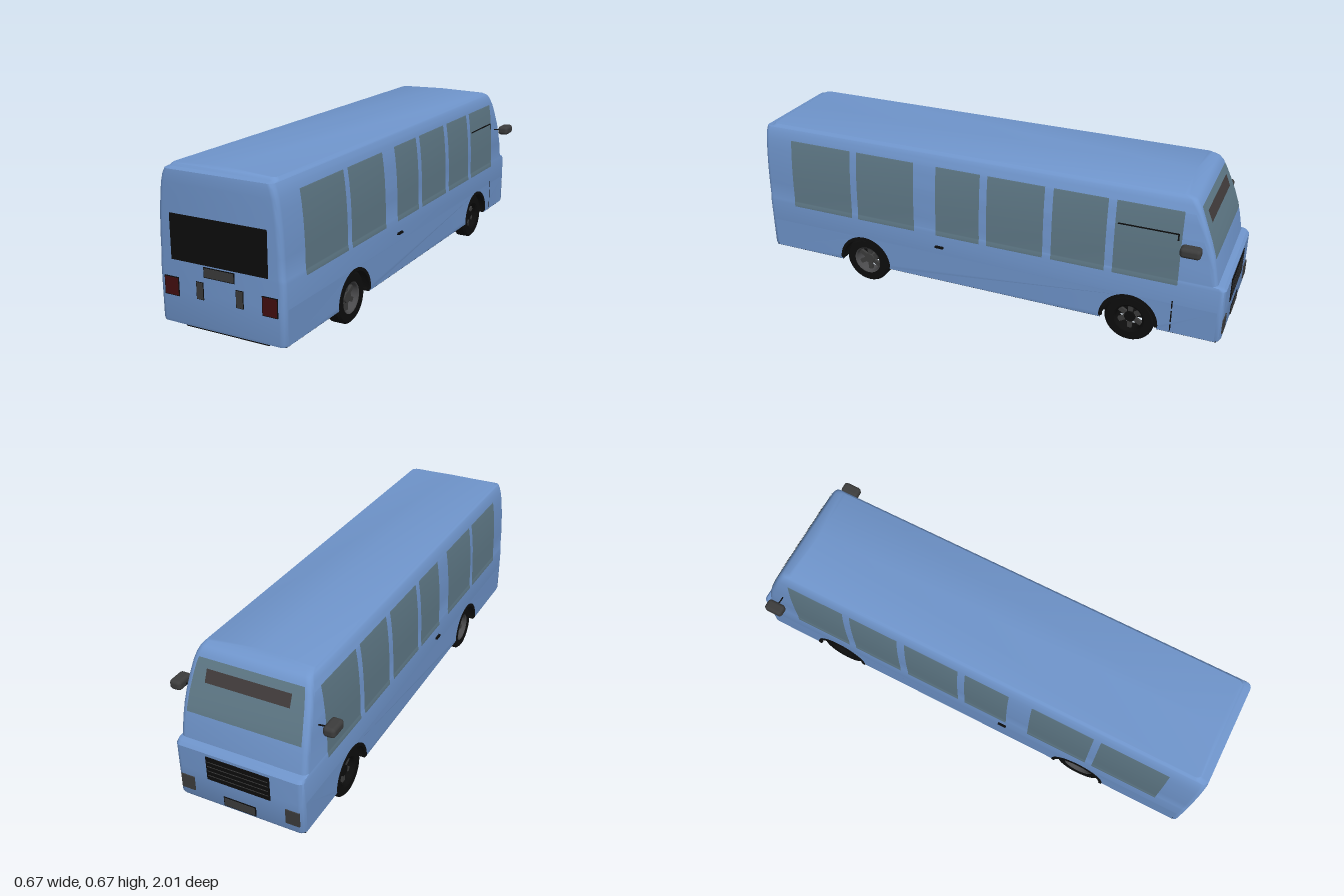
import * as THREE from 'three';
import { toCreasedNormals } from 'three/addons/utils/BufferGeometryUtils.js';
import { RoundedBoxGeometry } from 'three/addons/geometries/RoundedBoxGeometry.js';

const mat = (name, color) => new THREE.MeshStandardMaterial({ name, color, side: THREE.DoubleSide });

// Body levels: height, half width, nose z, tail z
const LEVELS = [
  [0.09, 0.258, -0.995, 0.998], [0.10, 0.26, -1, 1], [0.22, 0.261, -1, 1], [0.312, 0.261, -1, 1],
  [0.324, 0.259, -0.99, 1], [0.328, 0.258, -0.967, 1], [0.40, 0.257, -0.953, 1], [0.45, 0.255, -0.94, 1],
  [0.50, 0.252, -0.923, 1], [0.56, 0.246, -0.899, 1], [0.60, 0.24, -0.882, 1], [0.63, 0.232, -0.868, 1],
  [0.648, 0.224, -0.855, 0.998], [0.652, 0.221, -0.848, 0.972], [0.661, 0.213, -0.825, 0.965], [0.67, 0, -0.8, 0.95],
];
const WHEELS_Z = [-0.64, 0.53];
const ARCH_R = 0.115, CORNER = 0.022;

// Interpolated column of the level table at a height
function at(y, col) {
  let i = 0;
  while (i < LEVELS.length - 2 && LEVELS[i + 1][0] < y) i++;
  const a = LEVELS[i], b = LEVELS[i + 1];
  return a[col] + (b[col] - a[col]) * THREE.MathUtils.clamp((y - a[0]) / (b[0] - a[0]), 0, 1);
}

function indexed(points, index) {
  const g = new THREE.BufferGeometry();
  g.setAttribute('position', new THREE.Float32BufferAttribute(points, 3));
  g.setIndex(index);
  g.computeVertexNormals();
  return g;
}

// Rounded outlines stacked by height; lower flanks are left open for the arched panels
function bodyShell() {
  const pts = [], idx = [], N = 20;
  for (const [y, w, zf, zr] of LEVELS) {
    const r = Math.min(CORNER, w);
    [[1, 1], [1, -1], [-1, -1], [-1, 1]].forEach(([sx, sz], c) => {
      for (let k = 0; k < 5; k++) {
        const a = Math.PI / 2 - (c + k / 4) * Math.PI / 2;
        pts.push(sx * (w - r) + r * Math.cos(a), y, (sz > 0 ? zr - r : zf + r) + r * Math.sin(a));
      }
    });
  }
  for (let j = 0; j < LEVELS.length - 1; j++) {
    for (let i = 0; i < N; i++) {
      if (j < 2 && (i === 4 || i === 14)) continue;
      const a = j * N + i, b = j * N + (i + 1) % N;
      idx.push(a, a + N, b, b, a + N, b + N);
    }
  }
  // winding runs clockwise seen from above, so flip to face outwards
  for (let i = 0; i < idx.length; i += 3) [idx[i + 1], idx[i + 2]] = [idx[i + 2], idx[i + 1]];
  return toCreasedNormals(indexed(pts, idx), 0.6);
}

// Lower side panel with wheel arches cut out
function lowerPanel(side) {
  const s = new THREE.Shape(), e = 1 - CORNER;
  s.moveTo(-e, 0.09);
  for (const z of WHEELS_Z) {
    s.lineTo(z - ARCH_R, 0.09);
    s.absarc(z, 0.1, ARCH_R, Math.PI, 0, true);
    s.lineTo(z + ARCH_R, 0.09);
  }
  s.lineTo(e, 0.09);
  s.lineTo(e, 0.22);
  s.lineTo(-e, 0.22);
  const g = new THREE.ShapeGeometry(s, 20), p = g.attributes.position;
  for (let i = 0; i < p.count; i++) p.setXYZ(i, side * at(p.getY(i), 1), p.getY(i), p.getX(i));
  if (side > 0) {
    const n = g.index.array;
    for (let i = 0; i < n.length; i += 3) [n[i + 1], n[i + 2]] = [n[i + 2], n[i + 1]];
  }
  g.computeVertexNormals();
  return g;
}

// Thin strip that follows the body; edge(y, k) gives the point at either end of a row
function strip(y0, y1, edge, flip) {
  const ys = [y0, ...LEVELS.map(l => l[0]).filter(y => y > y0 + 0.001 && y < y1 - 0.001), y1];
  const pts = [], idx = [];
  ys.forEach((y, j) => {
    pts.push(...edge(y, 0), ...edge(y, 1));
    const a = 2 * j;
    if (j < ys.length - 1) idx.push(...(flip ? [a, a + 2, a + 1, a + 1, a + 2, a + 3] : [a, a + 1, a + 2, a + 1, a + 3, a + 2]));
  });
  return indexed(pts, idx);
}
const sidePatch = (s, z0, z1, y0, y1, off = 0.002) =>
  strip(y0, y1, (y, k) => [s * (at(y, 1) + off), y, k ? z1 : z0], s > 0);
const nosePatch = (halfWidth, y0, y1, off = 0.002) =>
  strip(y0, y1, (y, k) => [(k ? 1 : -1) * halfWidth(y), y, at(y, 2) - off], true);

export function createModel() {
  const group = new THREE.Group();
  group.name = 'bus';
  const paint = mat('blue paint', 0x7096cd), glass = mat('tinted glass', 0x5f7987), black = mat('black', 0x0d0d0d),
    grey = mat('dark grey', 0x3c3c3c), red = mat('dark red', 0x430e10), metal = mat('rim metal', 0x4a4a4c),
    visor = mat('brown grey', 0x413c3c);
  const add = (name, geo, m, parent = group) => {
    const mesh = new THREE.Mesh(geo, m);
    mesh.name = name;
    parent.add(mesh);
    return mesh;
  };
  const box = (name, m, x, y, z, w, h, d, parent) => {
    const b = add(name, new THREE.BoxGeometry(w, h, d), m, parent);
    b.position.set(x, y, z);
    return b;
  };

  add('bodyShell', bodyShell(), paint);

  // Underside and wheel well walls
  box('chassis', black, 0, 0.1425, 0.01, 0.35, 0.145, 1.92);
  for (const [z0, z1] of [[-0.985, -0.755], [-0.525, 0.415], [0.645, 0.985]])
    box('floor', black, 0, 0.092, (z0 + z1) / 2, 0.512, 0.008, z1 - z0);

  // Wheel parts
  const tyreGeo = new THREE.LatheGeometry([[0.062, -0.03], [0.092, -0.03], [0.1, -0.022], [0.1, 0.022],
    [0.092, 0.03], [0.062, 0.03], [0.062, -0.03]].map(p => new THREE.Vector2(...p)), 32);
  const rimGeo = new THREE.LatheGeometry([[0.063, 0.028], [0.054, 0.024], [0.052, -0.026]]
    .map(p => new THREE.Vector2(...p)), 32);
  const lip = new THREE.Shape();
  lip.absarc(0, 0, 0.119, 0, Math.PI, false);
  lip.absarc(0, 0, 0.106, Math.PI, 0, true);
  const lipGeo = new THREE.ExtrudeGeometry(lip, { depth: 0.012, bevelEnabled: false, curveSegments: 24 });

  for (const s of [1, -1]) {
    add('lowerSidePanel', lowerPanel(s), paint);

    // Side windows
    for (const [z0, z1] of [[0.58, 0.865], [0.285, 0.55], [-0.008, 0.185], [-0.28, -0.04], [-0.533, -0.315], [-0.82, -0.565]])
      add('sideWindow', sidePatch(s, z0, z1, 0.305, 0.605), glass);
    box('sideHandle', black, s * 0.264, 0.253, 0.17, 0.012, 0.008, 0.036);

    // Wheels, arches and wells
    for (const z of WHEELS_Z) {
      const wheel = new THREE.Group();
      wheel.name = z < 0 ? 'frontWheel' : 'rearWheel';
      wheel.position.set(s * 0.215, 0.1, z);
      wheel.rotation.z = -s * Math.PI / 2;
      add('tyre', toCreasedNormals(tyreGeo, 0.6), black, wheel);
      add('rim', rimGeo, z < 0 ? black : metal, wheel);
      add('hub', new THREE.CylinderGeometry(0.022, 0.026, 0.03, 20), z < 0 ? black : grey, wheel);
      for (let k = 0; k < 6; k++) {
        const a = k * Math.PI / 3;
        box('spoke', grey, 0.038 * Math.cos(a), 0.004, 0.038 * Math.sin(a), 0.034, 0.012, 0.018, wheel).rotation.y = -a;
      }
      group.add(wheel);
      const arch = add('archLip', lipGeo, black);
      arch.rotation.y = Math.PI / 2;
      arch.position.set(s > 0 ? 0.252 : -0.264, 0.1, z);
      const well = add('wheelWell', new THREE.CylinderGeometry(ARCH_R, ARCH_R, 0.085, 24, 1, true, 0, Math.PI), black);
      well.rotation.set(0, 0, Math.PI / 2);
      well.position.set(s * 0.2165, 0.1, z);
    }

    // Mirrors
    add('mirror', new RoundedBoxGeometry(0.048, 0.04, 0.078, 3, 0.014), grey).position.set(s * 0.31, 0.484, -0.866);
    const arm = add('mirrorArm', new THREE.CylinderGeometry(0.003, 0.003, 0.05, 8), black);
    arm.position.set(s * 0.27, 0.479, -0.866);
    arm.rotation.z = Math.PI / 2 + s * 0.1;

    // Lamps at nose and tail
    box('headlamp', grey, s * 0.217, 0.155, -1, 0.056, 0.06, 0.008);
    box('tailLampFrame', black, s * 0.205, 0.228, 1, 0.062, 0.07, 0.005);
    box('tailLamp', red, s * 0.205, 0.228, 1, 0.056, 0.064, 0.008);
    box('rearReflectorFrame', black, s * 0.083, 0.231, 1, 0.03, 0.064, 0.005);
    box('rearReflector', grey, s * 0.083, 0.231, 1, 0.026, 0.06, 0.008);
  }

  // Driver window rail and door seam, left side only
  add('windowRail', sidePatch(1, -0.81, -0.575, 0.513, 0.519, 0.004), black);
  add('windowRailEnd', sidePatch(1, -0.81, -0.804, 0.49, 0.519, 0.004), black);
  for (const [y0, y1] of [[0.1, 0.13], [0.14, 0.19], [0.2, 0.235]])
    add('doorSeam', sidePatch(1, -0.81, -0.805, y0, y1, 0.003), black);

  // Nose
  add('windshield', nosePatch(y => at(y, 1) - 0.024, 0.43, 0.622), glass);
  add('destinationPanel', nosePatch(() => 0.17, 0.545, 0.592, 0.004), visor);
  box('grille', black, 0, 0.25, -1, 0.26, 0.1, 0.006);
  for (let k = 0; k < 4; k++) box('grilleBar', grey, 0, 0.22 + k * 0.02, -1, 0.25, 0.002, 0.009);
  box('frontPlateFrame', black, 0, 0.122, -1, 0.134, 0.04, 0.005);
  box('frontPlate', grey, 0, 0.122, -1, 0.126, 0.033, 0.008);

  // Tail
  box('rearWindow', black, 0, 0.411, 1, 0.4, 0.167, 0.006);
  box('rearPlateFrame', black, 0, 0.302, 1, 0.128, 0.038, 0.005);
  box('rearPlate', grey, 0, 0.302, 1, 0.122, 0.032, 0.008);

  return group;
}
